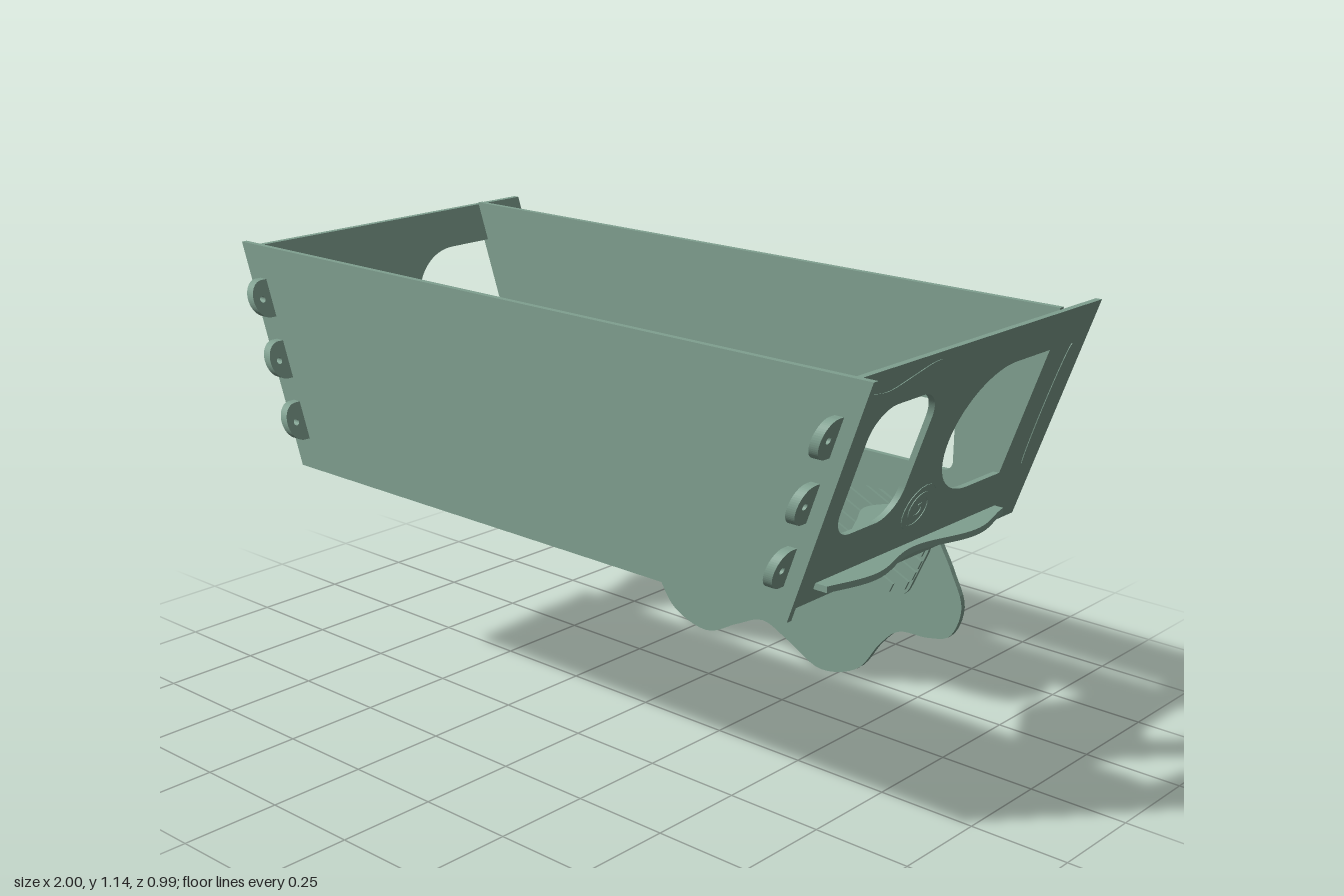
import * as THREE from 'three';

const green = new THREE.MeshStandardMaterial({ color: 0x7f9f8f });
green.name = 'sage green';

const T = 0.015;          // sheet thickness
const SLOPE = 0.36;       // outward lean of the side panels
const outerX = (y) => 0.755 + SLOPE * (y - 0.575);

const V = (p) => new THREE.Vector2(p[0], p[1]);
const poly = (pts) => new THREE.Shape(pts.map(V));
const spline = (pts, n, closed = false) => {
  const list = pts.map(V);
  if (closed) list.push(list[0].clone());
  return new THREE.SplineCurve(list).getPoints(n);
};

// Rounded rectangle outline
function rounded(x0, y0, x1, y1, r, Kind = THREE.Path) {
  const s = new Kind();
  s.absarc(x1 - r, y0 + r, r, -Math.PI / 2, 0);
  s.absarc(x1 - r, y1 - r, r, 0, Math.PI / 2);
  s.absarc(x0 + r, y1 - r, r, Math.PI / 2, Math.PI);
  s.absarc(x0 + r, y0 + r, r, Math.PI, Math.PI * 1.5);
  s.closePath();
  return s;
}

function sheet(name, shape, depth = T) {
  const geo = new THREE.ExtrudeGeometry(shape, { depth, bevelEnabled: false, curveSegments: 14 });
  const mesh = new THREE.Mesh(geo, green);
  mesh.name = name;
  return mesh;
}

// Lays a (z, y) sheet on the leaning side; lift moves it out from the outer face
function onSide(mesh, side, depth, lift = 0) {
  const xa = outerX(0) + lift;
  const x = side > 0 ? xa : -xa + depth;
  const m = new THREE.Matrix4().makeBasis(
    new THREE.Vector3(0, 0, 1),
    new THREE.Vector3(side * SLOPE, 1, 0),
    new THREE.Vector3(-1, 0, 0)).setPosition(x, 0, 0);
  mesh.geometry.applyMatrix4(m);
  return mesh;
}

// Scalloped outline shared by the flap and the floor opening
const half = [[0.62, 0.625], [0.6, 0.57], [0.553, 0.485], [0.597, 0.39], [0.635, 0.3], [0.607, 0.215],
  [0.54, 0.19], [0.45, 0.182], [0.39, 0.13], [0.32, 0.04], [0.2, 0.005], [0.09, 0.055]];
const scallop = spline([...half, [0, 0.09], ...half.map(([x, y]) => [-x, y]).reverse()], 130);

function frontPanel() {
  const s = poly([[-0.8, 0.58], [0.8, 0.58], [1, 1.138], [-1, 1.138]]);
  for (const [w, y] of [[0.795, 1.0], [0.745, 0.86], [0.705, 0.76]])
    s.holes.push(rounded(-w, y, w, y + 0.03, 0.013));
  const m = sheet('frontPanel', s);
  m.position.z = 0.425;
  return m;
}

function backPanel() {
  const tab = (y) => [outerX(y), y];
  const inn = (y) => [outerX(y) - 0.016, y];
  const right = [inn(0.625), inn(0.725), tab(0.725), tab(1.04), inn(1.04), inn(1.14)];
  const s = poly([...right, ...right.map(([x, y]) => [-x, y]).reverse()]);
  s.holes.push(rounded(0.145, 0.7, 0.68, 0.866, 0.025), rounded(-0.68, 0.7, -0.145, 0.866, 0.025));
  const m = sheet('backPanel', s);
  m.position.z = -0.35;
  return m;
}

function floor() {
  // Wavy side ledges pass through the side panels
  const ledge = [];
  for (let i = 0; i <= 40; i++) {
    const z = -0.38 + 0.69 * i / 40;
    ledge.push([0.815 - 0.02 * Math.cos((z + 0.02) * 16), z]);
  }
  const right = [[0.625, -0.475], [0.625, -0.49], [0.76, -0.49], [0.76, -0.38], ...ledge, [0.76, 0.31], [0.76, 0.425]];
  const s = poly([...right, ...right.map(([x, z]) => [-x, z]).reverse()]);
  const hole = scallop.map((p) => new THREE.Vector2(p.x, 0.32 - p.y));
  s.holes.push(new THREE.Path([new THREE.Vector2(0.625, -0.335), ...hole, new THREE.Vector2(-0.625, -0.335)]));
  const m = sheet('floor', s);
  m.geometry.applyMatrix4(new THREE.Matrix4().makeBasis(
    new THREE.Vector3(1, 0, 0), new THREE.Vector3(0, 0, 1), new THREE.Vector3(0, -1, 0)).setPosition(0, 0.625, 0));
  return m;
}

function flap() {
  const g = new THREE.Group();
  g.name = 'hangingFlap';
  const m = sheet('flapSheet', new THREE.Shape(scallop));
  m.position.z = -0.49;
  g.add(m);
  // Slatted pads on the flap
  for (const [x, y, turn] of [[-0.342, 0.44, 0], [0.355, 0.437, -0.43]]) {
    const pad = new THREE.Group();
    pad.name = 'slattedPad';
    pad.add(sheet('padBase', rounded(-0.168, -0.116, 0.168, 0.116, 0.06, THREE.Shape), 0.009));
    for (let i = 0; i < 6; i++) {
      const yc = -0.0915 + i * 0.0366;
      const w = Math.abs(yc) > 0.08 ? 0.125 : Math.abs(yc) > 0.04 ? 0.16 : 0.166;
      const slat = new THREE.Mesh(new THREE.BoxGeometry(w * 2, 0.026, 0.008), green);
      slat.name = 'slat';
      slat.position.set(0, yc, 0.012);
      pad.add(slat);
    }
    pad.position.set(x, y, -0.475);
    pad.rotation.z = turn;
    g.add(pad);
  }
  return g;
}

function sidePanel(side) {
  const g = new THREE.Group();
  g.name = side > 0 ? 'leftSide' : 'rightSide';
  const s = poly([[-0.49, 0.575], [0.425, 0.575], [0.425, 1.135], [-0.49, 1.135]]);
  s.holes.push(rounded(0.082, 0.728, 0.312, 1.037, 0.07));
  // D-shaped opening, straight towards the back
  const d = new THREE.Path();
  d.moveTo(-0.35, 0.725);
  d.lineTo(-0.2, 0.725);
  d.absellipse(-0.2, 0.8825, 0.168, 0.1575, -Math.PI / 2, Math.PI / 2);
  d.lineTo(-0.35, 1.04);
  d.closePath();
  s.holes.push(d);
  g.add(onSide(sheet('sidePanel', s, 0.016), side, 0.016));

  // Pierced tabs through the front panel
  for (const y of [1.008, 0.857, 0.705]) {
    const t = new THREE.Shape();
    t.moveTo(0.42, y - 0.046);
    t.lineTo(0.455, y - 0.046);
    t.absellipse(0.455, y, 0.04, 0.046, -Math.PI / 2, Math.PI / 2);
    t.lineTo(0.42, y + 0.046);
    t.closePath();
    const eye = new THREE.Path();
    eye.absarc(0.467, y, 0.008, 0, Math.PI * 2, true);
    t.holes.push(eye);
    g.add(onSide(sheet('frontTab', t, 0.024), side, 0.024, 0.004));
  }

  // Thin surface ornaments: squiggle, slim oval and spiral
  const squiggle = new THREE.Shape(spline([[0.36, 0.835], [0.39, 0.835], [0.365, 0.93], [0.392, 1.02], [0.37, 1.08],
    [0.29, 1.08], [0.157, 1.115], [0.11, 1.105], [0.125, 1.088], [0.23, 1.067], [0.335, 1.055], [0.36, 1.02],
    [0.345, 0.93]], 80, true));
  const oval = new THREE.Shape();
  oval.absellipse(-0.43, 0.88, 0.014, 0.158, 0, Math.PI * 2);
  const outer = [], inner = [];
  for (let i = 0; i <= 48; i++) {
    const k = i / 48, a = k * Math.PI * 4.4 + 1.2, r = 0.008 + 0.054 * k;
    const w = 0.007 * Math.sin(Math.PI * Math.min(1, 0.08 + k * 0.92)) + 0.0005;
    outer.push([-0.01 + Math.cos(a) * (r + w), 0.72 + Math.sin(a) * (r + w)]);
    inner.push([-0.01 + Math.cos(a) * (r - w), 0.72 + Math.sin(a) * (r - w)]);
  }
  const spiral = poly([...outer, ...inner.reverse()]);
  for (const [name, shape] of [['squiggle', squiggle], ['slimOval', oval], ['spiral', spiral]])
    g.add(onSide(sheet(name, shape, 0.003), side, 0.003, 0.002));
  return g;
}

export function createModel() {
  const model = new THREE.Group();
  model.name = 'slottedBasket';
  model.add(frontPanel(), backPanel(), floor(), flap(), sidePanel(1), sidePanel(-1));
  return model;
}
